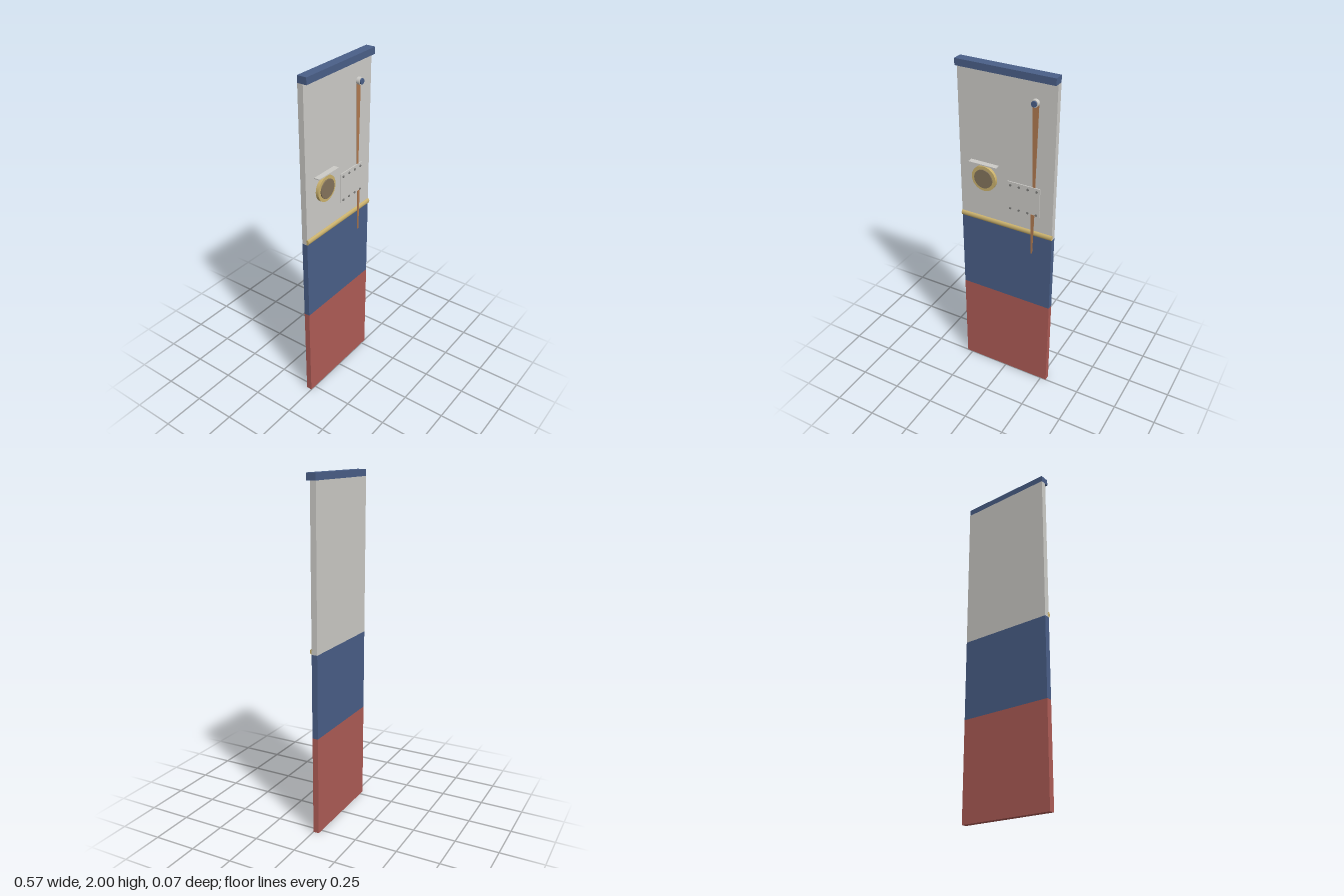
import * as THREE from 'three';

const mat = (name, color) => {
  const m = new THREE.MeshStandardMaterial({ color });
  m.name = name;
  return m;
};

export function createModel() {
  const white = mat('hull white', 0xcccbc7);
  const blue = mat('hull blue', 0x4a5f88);
  const red = mat('bottom red', 0xae5c56);
  const brass = mat('brass', 0xcbb26e);
  const glass = mat('smoked glass', 0x84745c);
  const rust = mat('rust', 0xb07a50);
  const steel = mat('rivet grey', 0x7c7c7a);

  const root = new THREE.Group();
  root.name = 'hullSection';
  const add = (name, geo, m, x, y, z) => {
    const mesh = new THREE.Mesh(geo, m);
    mesh.name = name;
    mesh.position.set(x, y, z);
    root.add(mesh);
    return mesh;
  };
  // box given by its limits in x, y and z
  const box = (name, m, x0, x1, y0, y1, z0, z1) =>
    add(name, new THREE.BoxGeometry(x1 - x0, y1 - y0, z1 - z0), m, (x0 + x1) / 2, (y0 + y1) / 2, (z0 + z1) / 2);
  // disc facing +z, from z0 to z1
  const disc = (name, m, r, x, y, z0, z1, sides = 32) =>
    add(name, new THREE.CylinderGeometry(r, r, z1 - z0, sides).rotateX(Math.PI / 2), m, x, y, (z0 + z1) / 2);
  // thin tapered rust streak running downwards
  const streak = (name, x, yTop, yBottom, wTop, wBottom, z, depth) => {
    const s = new THREE.Shape([
      new THREE.Vector2(-wTop / 2, yTop), new THREE.Vector2(-wBottom / 2, yBottom),
      new THREE.Vector2(wBottom / 2, yBottom), new THREE.Vector2(wTop / 2, yTop),
    ]);
    add(name, new THREE.ExtrudeGeometry(s, { depth, bevelEnabled: false }), rust, x, 0, z);
  };

  const W = 0.286, back = -0.034;

  // painted plating bands and the cap rail
  box('bottomPlating', red, -W, W, 0, 0.58, back, 0);
  box('middlePlating', blue, -W, W, 0.58, 1.06, back, 0);
  box('upperPlating', white, -W, W, 1.06, 1.962, back, 0);
  box('capRail', blue, -W, W, 1.962, 2, back, 0.022);

  // rounded rubbing strake
  const rail = new THREE.CylinderGeometry(0.016, 0.016, W * 2, 16).rotateZ(Math.PI / 2).scale(1, 1, 0.65);
  add('rubbingStrake', rail, brass, 0, 1.077, 0);

  // porthole with its rain brow
  disc('portholeRim', brass, 0.075, -0.13, 1.345, 0, 0.018);
  disc('portholeGlass', glass, 0.056, -0.13, 1.345, 0, 0.024);
  box('portholeBrow', white, -0.215, -0.045, 1.433, 1.439, 0, 0.033);

  // drain pipe with flange
  disc('drainFlange', white, 0.021, 0.17, 1.847, 0, 0.02, 20);
  disc('drainPipe', blue, 0.016, 0.17, 1.847, 0, 0.027, 20);

  // riveted patch
  box('patchPlate', white, 0.012, 0.208, 1.187, 1.365, 0, 0.006);
  for (const y of [1.2, 1.345]) {
    for (let i = 0; i < 4; i++) disc('rivet', steel, 0.007, 0.031 + i * 0.053, y, 0.005, 0.01, 10);
  }

  // rust streaks below the drain and the patch
  streak('upperRustStreak', 0.17, 1.84, 1.36, 0.036, 0.015, 0, 0.003);
  streak('lowerRustStreak', 0.17, 1.2, 0.945, 0.024, 0.008, 0.0105, 0.002);

  return root;
}
